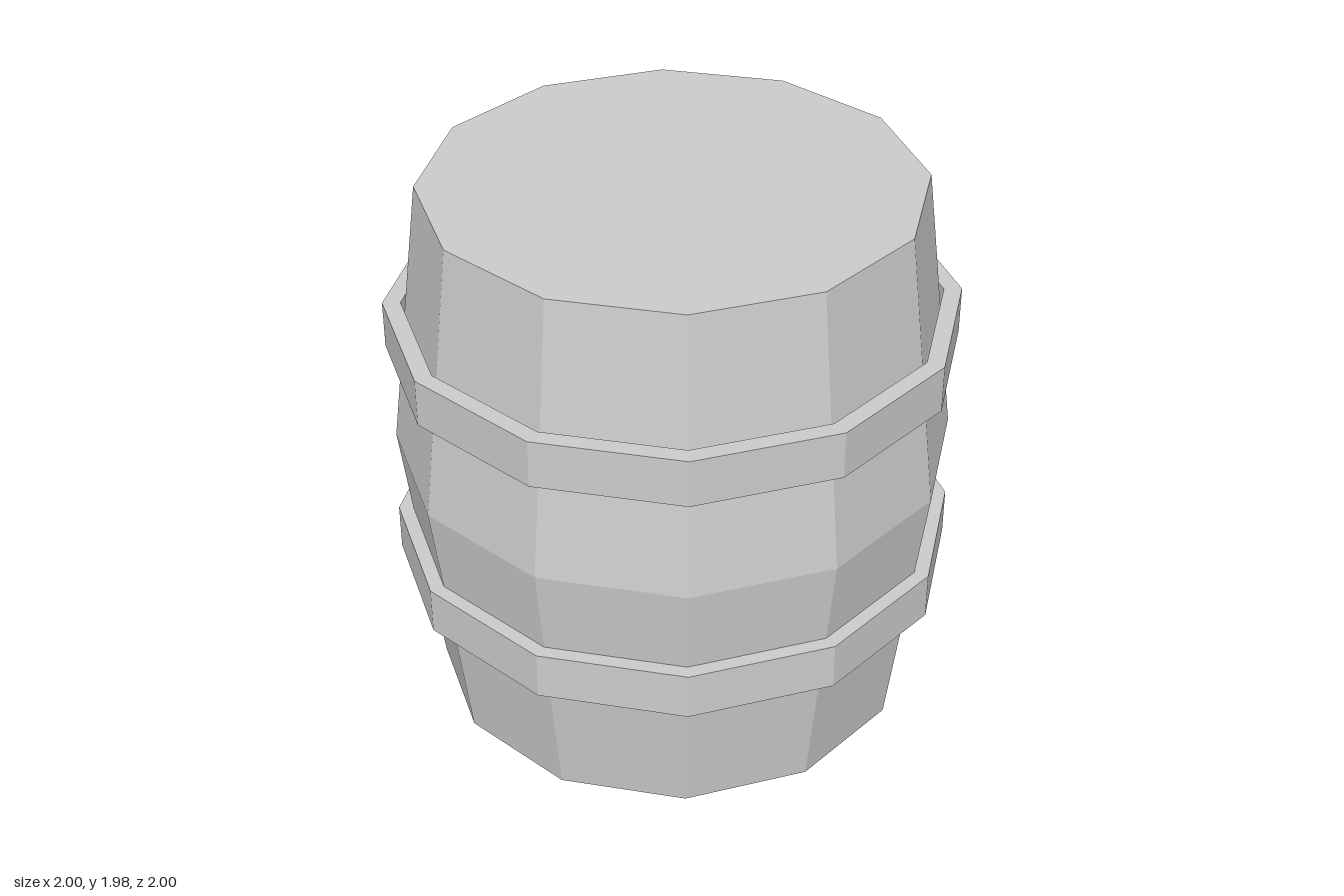
import * as THREE from 'three';

const SIDES = 12;

// Revolves a [radius, height] profile, listed from the bottom outwards and up
function revolve(name, profile, material) {
  const points = profile.map(([r, y]) => new THREE.Vector2(r, y));
  const mesh = new THREE.Mesh(new THREE.LatheGeometry(points, SIDES), material);
  mesh.name = name;
  return mesh;
}

export function createModel() {
  const group = new THREE.Group();
  group.name = 'barrel';

  const grey = new THREE.MeshStandardMaterial({ color: 0xcccccc });
  grey.name = 'light grey';
  grey.flatShading = true;

  // Bulging body with flat lids
  group.add(revolve('body', [[0, 0], [0.865, 0], [0.988, 0.99], [0.865, 1.98], [0, 1.98]], grey));

  // Two hoops, each a closed ring
  const inner = 0.937, outer = 1, height = 0.172;
  for (const [name, y] of [['lowerHoop', 0.497], ['upperHoop', 1.362]]) {
    group.add(revolve(name, [
      [inner, y], [outer, y], [outer, y + height], [inner, y + height], [inner, y],
    ], grey));
  }

  return group;
}
